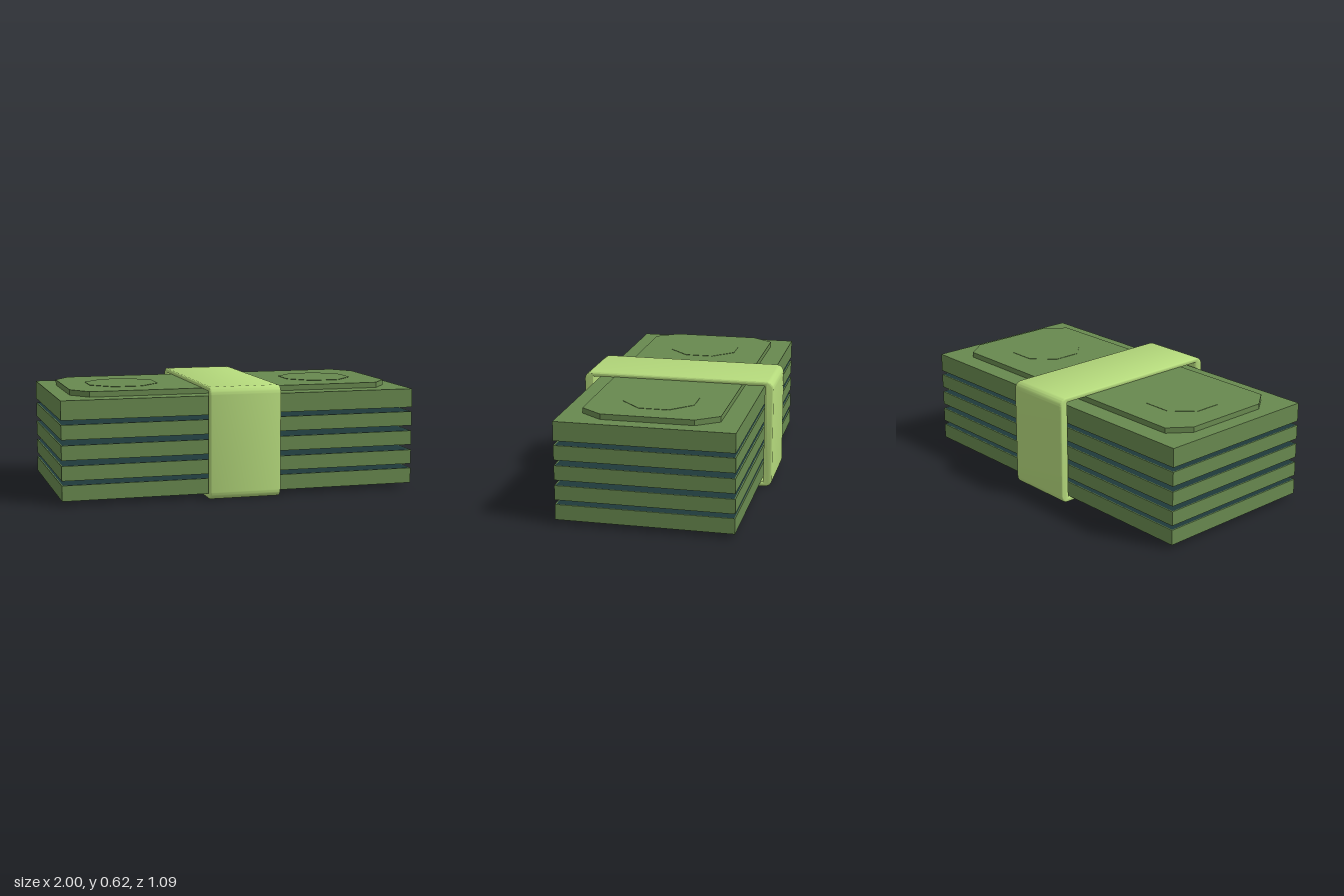
import * as THREE from 'three';
import { toCreasedNormals } from 'three/addons/utils/BufferGeometryUtils.js';

const material = (name, color) => {
  const m = new THREE.MeshStandardMaterial({ color });
  m.name = name;
  return m;
};

function addMesh(parent, name, geometry, mat, x = 0, y = 0, z = 0) {
  const mesh = new THREE.Mesh(geometry, mat);
  mesh.name = name;
  mesh.position.set(x, y, z);
  parent.add(mesh);
  return mesh;
}

// Rectangle with rounded corners, centred on the origin
function roundedRect(Type, w, h, r) {
  const p = new Type();
  const corner = (sx, sy, a) => p.absarc(sx * (w / 2 - r), sy * (h / 2 - r), r, a, a + Math.PI / 2);
  corner(1, 1, 0);
  corner(-1, 1, Math.PI / 2);
  corner(-1, -1, Math.PI);
  corner(1, -1, Math.PI * 1.5);
  p.closePath();
  return p;
}

export function createModel() {
  const green = material('note green', 0x68894f);
  const dark = material('dark teal', 0x1f393b);
  const lime = material('band lime', 0xb5da7c);

  const model = new THREE.Group();
  model.name = 'banknoteBundle';
  const W = 2, D = 0.96, T = 0.006;

  // Stacked bundles: open-bottomed trays, dark inside except the top one
  const layers = [[0.025, 0.11], [0.135, 0.215], [0.245, 0.325], [0.355, 0.435], [0.46, 0.565]];
  layers.forEach(([y0, y1], i) => {
    const layer = new THREE.Group();
    layer.name = `noteLayer${i + 1}`;
    const h = y1 - y0, y = (y0 + y1) / 2;
    for (const s of [-1, 1]) {
      addMesh(layer, 'longEdge', new THREE.BoxGeometry(W, h, T), green, 0, y, s * (D - T) / 2);
      addMesh(layer, 'shortEdge', new THREE.BoxGeometry(T, h, D - 2 * T), green, s * (W - T) / 2, y, 0);
    }
    const lidMaterial = i === layers.length - 1 ? green : dark;
    addMesh(layer, 'noteFace', new THREE.BoxGeometry(W - 2 * T, T, D - 2 * T), lidMaterial, 0, y1 - T / 2, 0);
    model.add(layer);
  });

  // Raised panel with cut corners
  const panel = new THREE.Shape([
    [0.915, 0.25], [0.825, 0.37], [-0.825, 0.37], [-0.915, 0.25],
    [-0.915, -0.25], [-0.825, -0.37], [0.825, -0.37], [0.915, -0.25],
  ].map(([x, z]) => new THREE.Vector2(x, z)));
  const panelGeometry = new THREE.ExtrudeGeometry(panel, { depth: 0.032, bevelEnabled: false });
  panelGeometry.rotateX(-Math.PI / 2);
  addMesh(model, 'raisedPanel', panelGeometry, green, 0, 0.563, 0);

  // Octagonal medallions on the panel
  for (const s of [-1, 1]) {
    const medallion = new THREE.CylinderGeometry(0.21, 0.21, 0.002, 8).toNonIndexed();
    medallion.computeVertexNormals();
    addMesh(model, 'medallion', medallion, green, s * 0.58, 0.596, 0).rotation.y = Math.PI / 8;
  }

  // Wrapping band: rounded loop extruded along x with softened rims
  const B = 0.008;
  const loop = roundedRect(THREE.Shape, 1.09 - 2 * B, 0.617 - 2 * B, 0.035);
  loop.holes.push(roundedRect(THREE.Path, 0.99 + 2 * B, 0.563 + 2 * B, 0.004));
  const band = new THREE.ExtrudeGeometry(loop, {
    depth: 0.4 - 2 * B, bevelThickness: B, bevelSize: B, bevelSegments: 2, curveSegments: 5,
  });
  band.translate(0, 0, -0.2 + B);
  band.rotateY(Math.PI / 2);
  addMesh(model, 'band', toCreasedNormals(band, 0.9), lime, 0, 0.3085, 0);

  return model;
}
